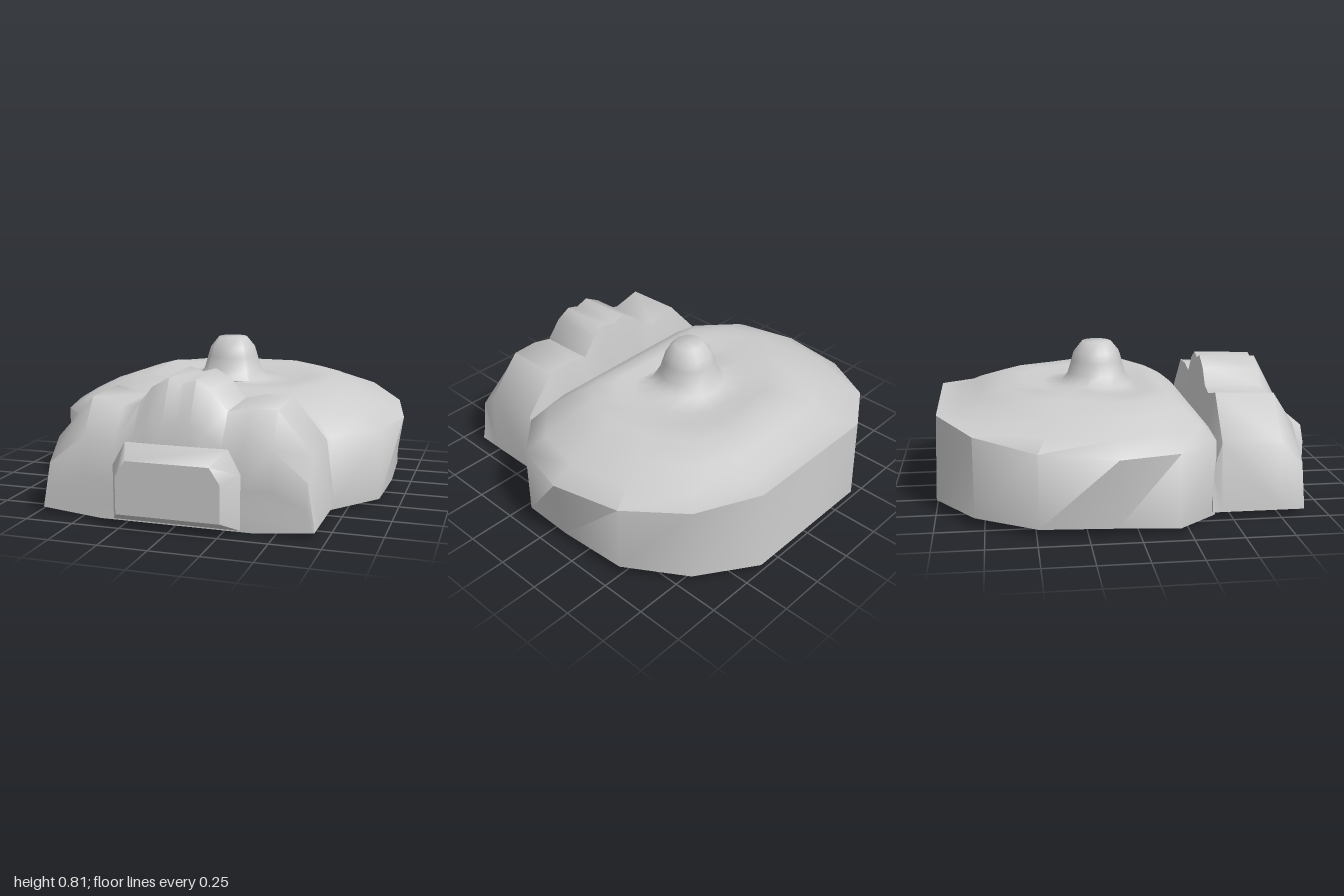
import * as THREE from 'three';
import { toCreasedNormals } from 'three/addons/utils/BufferGeometryUtils.js';

// Skin a stack of equal-length rings of [x, y, z], closed at both ends.
function loft(rings, crease) {
  const n = rings[0].length, pos = [], index = [];
  rings.forEach(r => r.forEach(p => pos.push(...p)));
  for (let i = 0; i < rings.length - 1; i++) {
    for (let j = 0; j < n; j++) {
      const a = i * n + j, b = i * n + (j + 1) % n;
      index.push(a, b, b + n, a, b + n, a + n);
    }
  }
  [0, rings.length - 1].forEach(i => {
    const c = pos.length / 3;
    pos.push(...[0, 1, 2].map(k => rings[i].reduce((s, p) => s + p[k], 0) / n));
    for (let j = 0; j < n; j++) {
      const a = i * n + j, b = i * n + (j + 1) % n;
      index.push(c, ...(i ? [a, b] : [b, a]));
    }
  });
  const g = new THREE.BufferGeometry();
  g.setAttribute('position', new THREE.Float32BufferAttribute(pos, 3));
  g.setIndex(index);
  return toCreasedNormals(g, crease);
}

export function createModel() {
  const group = new THREE.Group();
  const material = new THREE.MeshStandardMaterial({ color: 0xcccccc, side: THREE.DoubleSide });
  const add = (name, geometry) => {
    const mesh = new THREE.Mesh(geometry, material);
    mesh.name = name;
    group.add(mesh);
  };

  // Rounded hall: outline [x, z, rim height], counter-clockwise from above
  const half = [[0.67, 0.42, 0.38], [0.89, 0.2, 0.4], [0.965, -0.11, 0.4],
    [0.89, -0.49, 0.42], [0.69, -0.8, 0.46], [0.39, -0.985, 0.5]];
  const mirrored = half.map(([x, z, y]) => [-x, z, y]).reverse();
  const outline = [[0, 0.45, 0.38], [0.52, 0.45, 0.38], ...half,
    [0, -0.985, 0.5], ...mirrored, [-0.52, 0.45, 0.38]];
  const cx = -0.015, cz = -0.12;
  const base = outline.map(([x, z]) => [
    Math.abs(x) > 0.95 ? x * 0.945 : x, 0.045 * Math.min(1, (0.45 - z) / 0.6), z < -0.9 ? -1 : z]);
  const rim = outline.map(([x, z, y]) => [x, y, z]);
  const bump = (x, z, bx, bz) => Math.exp(-((x - bx) ** 2 + (z - bz) ** 2) / 0.012);
  const roof = [[0.88, 0.475], [0.74, 0.54], [0.6, 0.585], [0.46, 0.59], [0.34, 0.57]].map(([s, y]) =>
    outline.map(([ox, oz, oy]) => {
      const x = cx + (ox - cx) * s, z = cz + (oz - cz) * s;
      const lift = 0.04 * (bump(x, z, -0.4, -0.26) + bump(x, z, 0.57, -0.02));
      return [x, y + lift + (oy - 0.42) * (s - 0.3) * 0.6, z];
    }));
  // Central spire rising from the shallow dip in the roof
  const spire = [[0.2, 0.58], [0.16, 0.63], [0.14, 0.7], [0.125, 0.75], [0.08, 0.805]].map(([r, y]) =>
    outline.map(([x, z]) => {
      const a = Math.atan2(z - cz, x - cx);
      return [cx + r * Math.cos(a), y, cz + r * Math.sin(a)];
    }));
  add('hallWithSpire', loft([base, rim, ...roof, ...spire], 1.15));

  // Lobed front block: skyline running from right edge to left edge
  const skyline = [[0.69, 0.03], [0.655, 0.38], [0.48, 0.59], [0.34, 0.595], [0.23, 0.57],
    [0.15, 0.67], [0.07, 0.715], [0, 0.695], [-0.07, 0.72], [-0.16, 0.67],
    [-0.23, 0.58], [-0.32, 0.56], [-0.48, 0.6], [-0.675, 0.38], [-0.715, 0.03]];
  const foot = [[-0.4, 0], [0, 0], [0.4, 0]];
  const section = (z, k) => [
    ...skyline.map(([x, y]) => [x, y > 0.1 ? y * k : y, z]),
    ...foot.map(([x, y]) => [x, y, z])];
  add('frontBlock', loft(
    [section(0.4, 0.6), section(0.45, 1), section(0.76, 0.985), section(0.87, 0.7), section(0.878, 0.35)], 1.1));

  // Tapered entrance porch
  const porch = (z, w, y0, y1) => [[w, y0, z], [w, y0 + (y1 - y0) * 0.7, z], [w * 0.8, y1, z],
    [-w * 0.8, y1, z], [-w, y0 + (y1 - y0) * 0.7, z], [-w, y0, z]];
  add('entrancePorch', loft([porch(0.8, 0.34, 0, 0.41), porch(0.875, 0.33, 0.005, 0.4), porch(1, 0.265, 0.07, 0.34)], 0.9));

  return group;
}
